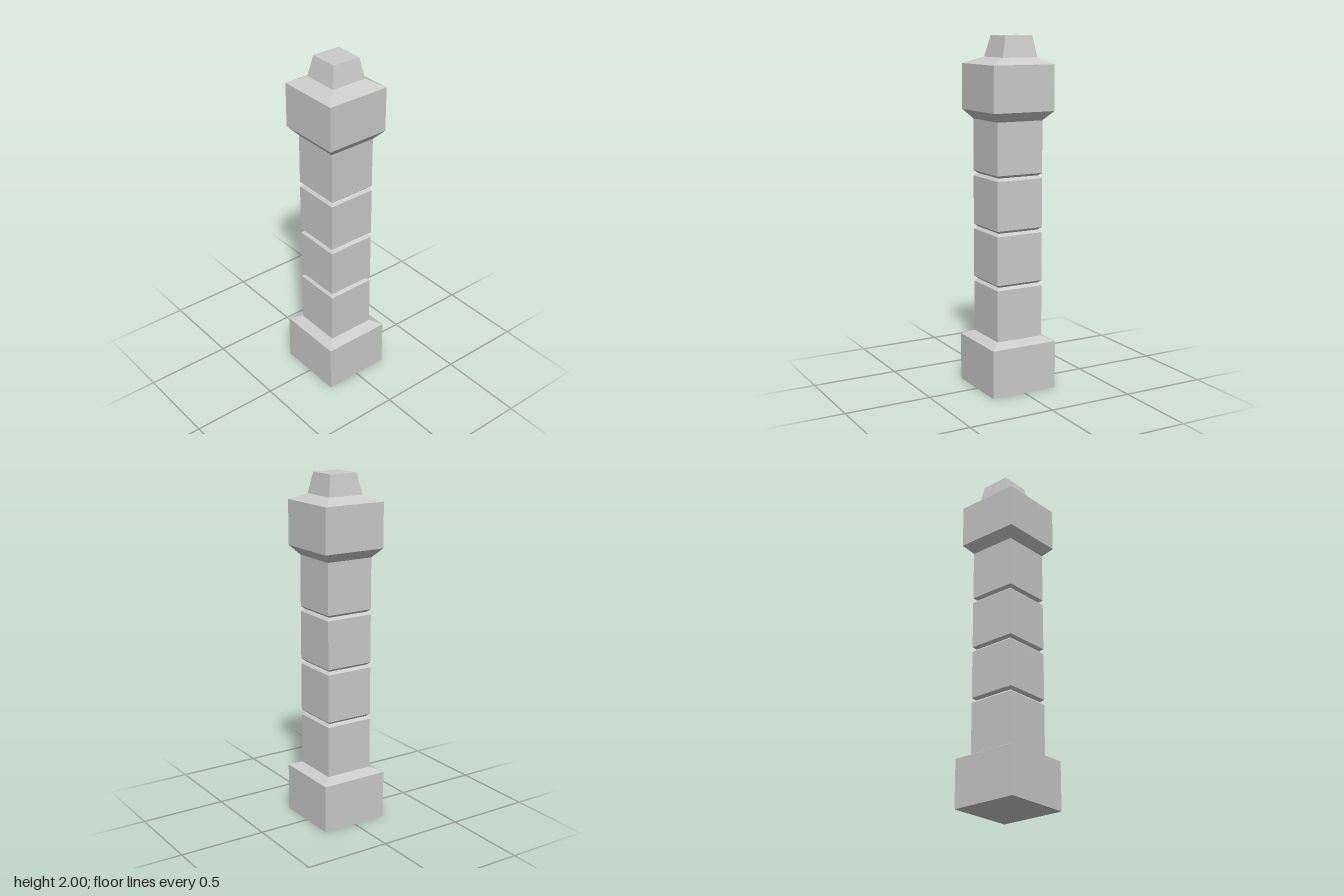
import * as THREE from 'three';

const material = new THREE.MeshStandardMaterial({ color: 0xcccccc, flatShading: true });

// Square ring at height y, spanning min..max in both x and z
const ring = ([y, min, max = -min]) => [[min, y, max], [max, y, max], [max, y, min], [min, y, min]];

// Lofts square rings from bottom to top into a faceted part
function loft(name, sections, capBottom = false, capTop = false) {
  const rings = sections.map(ring);
  const pos = [];
  const quad = (a, b, c, d) => pos.push(...a, ...b, ...c, ...a, ...c, ...d);
  for (let r = 0; r < rings.length - 1; r++) {
    const lo = rings[r], hi = rings[r + 1];
    for (let i = 0; i < 4; i++) {
      const j = (i + 1) % 4;
      quad(lo[i], lo[j], hi[j], hi[i]);
    }
  }
  if (capBottom) quad(...[...rings[0]].reverse());
  if (capTop) quad(...rings[rings.length - 1]);
  const geometry = new THREE.BufferGeometry();
  geometry.setAttribute('position', new THREE.Float32BufferAttribute(pos, 3));
  geometry.computeVertexNormals();
  const mesh = new THREE.Mesh(geometry, material);
  mesh.name = name;
  return mesh;
}

export function createModel() {
  const group = new THREE.Group();
  group.name = 'pillar';
  const S = [-0.142, 0.141]; // shaft width
  const G = [-0.125, 0.124]; // groove width

  // Base block with sloped shoulder
  group.add(loft('base', [[0, -0.2], [0.277, -0.2], [0.305, ...S]], true));

  // Shaft blocks parted by V-shaped grooves
  const grooves = [0.615, 0.922, 1.23];
  for (let i = 0; i <= grooves.length; i++) {
    const sections = [];
    if (i > 0) sections.push([grooves[i - 1], ...G], [grooves[i - 1] - 0.014 + 0.028 * 0.5 + 0.015, ...S]);
    else sections.push([0.305, ...S]);
    if (i < grooves.length) sections.push([grooves[i] - 0.015, ...S], [grooves[i], ...G]);
    else sections.push([1.538, ...S]);
    group.add(loft('shaftBlock' + (i + 1), sections));
  }

  // Capital flaring out from the shaft, with a sloped top
  group.add(loft('capital', [
    [1.538, ...S], [1.59, -0.189, 0.187], [1.845, -0.189, 0.187], [1.882, -0.12, 0.095],
  ]));

  // Tapered finial, set slightly off centre
  group.add(loft('finial', [[1.882, -0.12, 0.095], [2, -0.1, 0.068]], false, true));

  return group;
}
